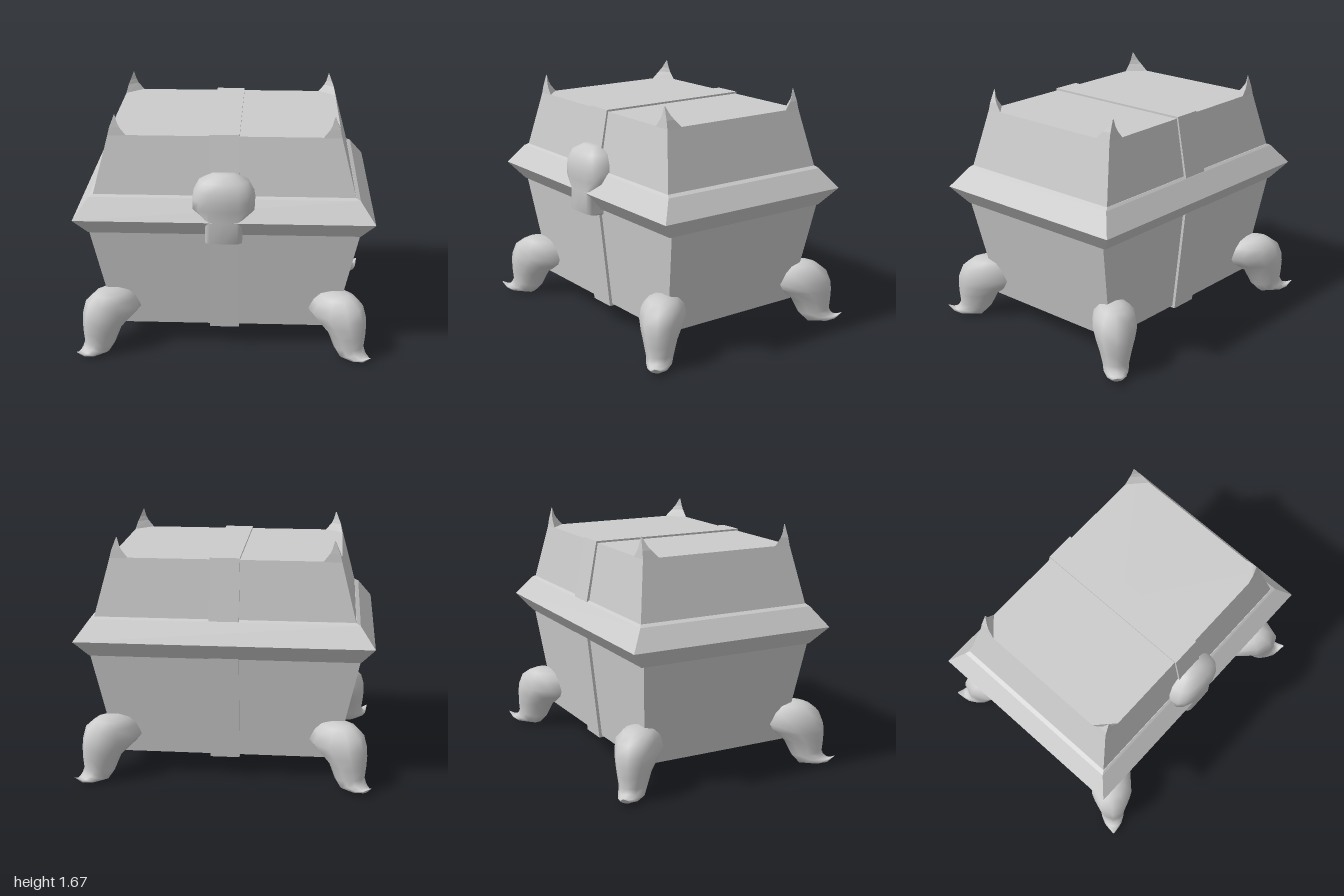
import * as THREE from 'three';

const flat = new THREE.MeshStandardMaterial({ color: 0xcccccc, flatShading: true });
const smooth = new THREE.MeshStandardMaterial({ color: 0xcccccc });

// Skins a stack of closed loops (bottom to top) and caps both ends.
function loft(name, loops, material, flip = false) {
  const n = loops[0].length, pos = [], idx = [];
  const tri = (a, b, c) => (flip ? idx.push(a, c, b) : idx.push(a, b, c));
  loops.forEach((loop) => loop.forEach((p) => pos.push(...p)));
  for (let j = 0; j < loops.length - 1; j++) {
    for (let i = 0; i < n; i++) {
      const a = j * n + i, b = j * n + ((i + 1) % n);
      tri(a, a + n, b);
      tri(b, a + n, b + n);
    }
  }
  [0, loops.length - 1].forEach((j) => {
    const c = pos.length / 3;
    pos.push(...[0, 1, 2].map((k) => loops[j].reduce((s, p) => s + p[k], 0) / n));
    for (let i = 0; i < n; i++) {
      const a = j * n + i, b = j * n + ((i + 1) % n);
      if (j === 0) tri(c, a, b);
      else tri(c, b, a);
    }
  });
  const g = new THREE.BufferGeometry();
  g.setAttribute('position', new THREE.Float32BufferAttribute(pos, 3));
  g.setIndex(idx);
  g.computeVertexNormals();
  const mesh = new THREE.Mesh(g, material);
  mesh.name = name;
  return mesh;
}

// Rectangular loop with half sizes x and z at height y
const rect = (y, x, z) => [[x, y, z], [-x, y, z], [-x, y, -z], [x, y, -z]];

// Pointed corner horn on the lid
function horn(sx, sz) {
  const rows = [ // y, corner x, corner z, inner x, inner z
    [1.53, 0.771, 0.553, 0.64, 0.43],
    [1.59, 0.756, 0.549, 0.688, 0.487],
    [1.62, 0.744, 0.546, 0.703, 0.51],
    [1.675, 0.723, 0.541, 0.718, 0.536],
  ];
  const loops = rows.map(([y, x, z, ix, iz]) =>
    [[x, y, z], [ix, y, z], [x, y, iz]].map(([px, py, pz]) => [px * sx, py, pz * sz]));
  return loft('lidHorn', loops, flat, sx * sz < 0);
}

// Clawed foot lying along the corner diagonal
function foot(sx, sz) {
  const rows = [ // outer t, y, inner t, y, half width
    [0.82, 0.068, 0.815, 0.06, 0.006],
    [0.795, 0.052, 0.785, 0.02, 0.035],
    [0.78, 0.05, 0.73, 0.005, 0.065],
    [0.765, 0.07, 0.64, 0.005, 0.085],
    [0.755, 0.1, 0.6, 0.06, 0.09],
    [0.76, 0.17, 0.56, 0.17, 0.11],
    [0.762, 0.24, 0.48, 0.24, 0.135],
    [0.758, 0.3, 0.41, 0.3, 0.152],
    [0.735, 0.38, 0.46, 0.38, 0.14],
    [0.69, 0.425, 0.5, 0.425, 0.1],
    [0.655, 0.445, 0.56, 0.445, 0.05],
  ];
  const n = 10;
  const loops = rows.map(([ot, oy, it, iy, w]) =>
    Array.from({ length: n }, (_, i) => {
      const a = (i / n) * Math.PI * 2, k = Math.cos(a) / 2;
      const t = (ot + it) / 2 + k * (ot - it);
      const side = Math.sin(a) * w * Math.SQRT1_2;
      return [sx * (0.18 + t - side), (oy + iy) / 2 + k * (oy - iy), sz * (t + side)];
    }));
  return loft('clawFoot', loops, smooth, sx * sz < 0);
}

// Domed lock with a squared lower tongue
function lock() {
  const rows = [ // y, half width, front z, squareness
    [0.84, 0.12, 0.7, 0.3],
    [0.852, 0.125, 0.737, 0.3],
    [1.0, 0.125, 0.737, 0.35],
    [1.08, 0.215, 0.752, 0.75],
    [1.14, 0.21, 0.756, 0.75],
    [1.2, 0.2, 0.753, 0.75],
    [1.265, 0.165, 0.728, 0.8],
    [1.31, 0.075, 0.67, 0.9],
  ];
  const z0 = 0.62, n = 16;
  const pow = (v, e) => Math.sign(v) * Math.abs(v) ** e;
  return loft('lock', rows.map(([y, w, zf, e]) =>
    Array.from({ length: n }, (_, i) => {
      const a = (i / n) * Math.PI * 2;
      return [w * pow(Math.cos(a), e), y, z0 + (zf - z0) * pow(Math.sin(a), e)];
    })), smooth);
}

export function createModel() {
  const chest = new THREE.Group();
  chest.name = 'chest';
  chest.add(
    // Tapered box, flared rim and lid
    loft('body', [rect(0.165, 0.758, 0.54), rect(0.89, 0.91, 0.622)], flat),
    loft('rim', [rect(0.88, 0.91, 0.637), rect(1, 1, 0.735),
      rect(1.135, 0.9, 0.64), rect(1.15, 0.872, 0.625)], flat),
    loft('lid', [rect(1.145, 0.872, 0.622), rect(1.54, 0.768, 0.552)], flat),
    // Raised strap around the middle
    loft('bodyStrap', [rect(0.15, 0.1, 0.56), rect(0.885, 0.1, 0.641)], flat),
    loft('lidStrap', [rect(1.14, 0.1, 0.641), rect(1.553, 0.1, 0.562)], flat),
    lock(),
  );
  for (const sx of [1, -1]) {
    for (const sz of [1, -1]) chest.add(horn(sx, sz), foot(sx, sz));
  }
  return chest;
}
